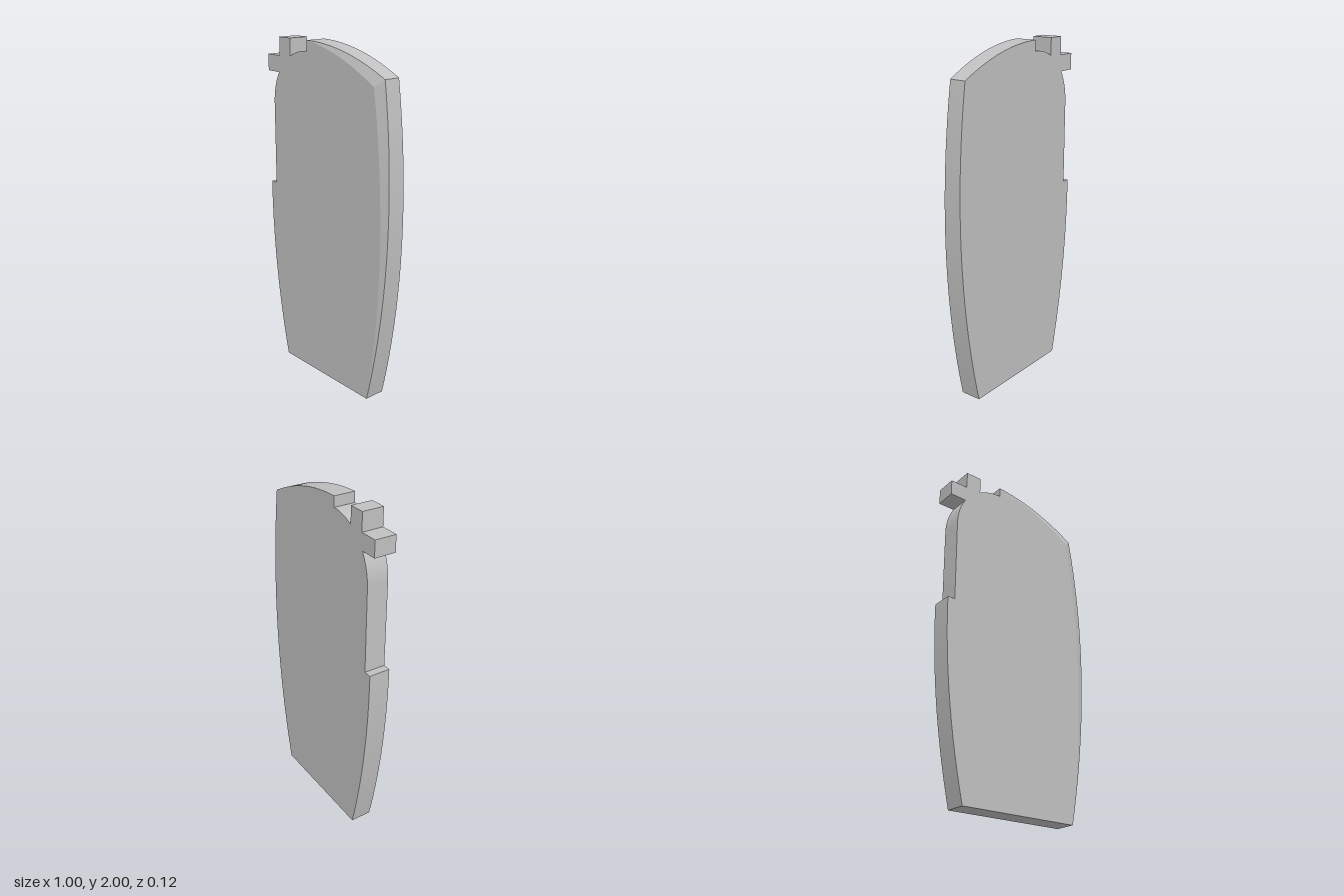
import * as THREE from 'three';
import { toCreasedNormals } from 'three/addons/utils/BufferGeometryUtils.js';

const D = 0.0625; // half thickness
const EDGE = 0.036; // front height of the bevel's lowest corner

// points of a gentle arc from a to b that passes through m halfway (last point left out)
function arc(a, m, b, n) {
  const c = [2 * m[0] - (a[0] + b[0]) / 2, 2 * m[1] - (a[1] + b[1]) / 2];
  const curve = new THREE.QuadraticBezierCurve(
    new THREE.Vector2(...a), new THREE.Vector2(...c), new THREE.Vector2(...b));
  return curve.getPoints(n).slice(0, n);
}

const plain = (points) => points.map((p) => ({ outer: p, inner: p, z: D }));

// bevelled stretch: outer rim drops from z0 to z1 while the front edge follows the inner arc
const bevelled = (outer, inner, z0, z1) => outer.map((p, i) => ({
  outer: p, inner: inner[i], z: THREE.MathUtils.lerp(z0, z1, i / outer.length),
}));

function plateGeometry() {
  const N = 28;
  const ring = [
    // right side, bevel widening upwards
    ...bevelled(
      arc([0.37, 0], [0.495, 0.925], [0.44, 1.85], N),
      arc([0.37, 0], [0.455, 0.905], [0.388, 1.808], N), D, EDGE),
    // top, bevel fading out to the left
    ...bevelled(
      arc([0.44, 1.85], [0.147, 1.962], [-0.147, 2], N),
      arc([0.388, 1.808], [0.12, 1.935], [-0.147, 2], N), EDGE, D),
    ...plain([new THREE.Vector2(-0.147, 2)]),
    // notched corner with its two prongs
    ...plain(arc([-0.147, 1.94], [-0.225, 1.93], [-0.295, 1.9], 8)),
    ...plain([
      [-0.295, 1.9], [-0.295, 2], [-0.392, 2], [-0.392, 1.895],
      [-0.5, 1.895], [-0.5, 1.8],
    ].map((p) => new THREE.Vector2(...p))),
    ...plain(arc([-0.4, 1.8], [-0.437, 1.715], [-0.45, 1.62], 10)),
    // left side with its step
    ...plain([new THREE.Vector2(-0.45, 1.62), new THREE.Vector2(-0.45, 1.127)]),
    ...plain(arc([-0.495, 1.127], [-0.463, 0.563], [-0.363, 0], N)),
    ...plain([new THREE.Vector2(-0.363, 0)]),
  ];

  const position = [];
  const ab = new THREE.Vector3(), ac = new THREE.Vector3();
  const tri = (a, b, c) => {
    ab.subVectors(b, a);
    ac.subVectors(c, a);
    if (ab.cross(ac).length() < 1e-9) return;
    for (const p of [a, b, c]) position.push(p.x, p.y, p.z);
  };
  const quad = (a, b, c, d) => { tri(a, b, c); tri(a, c, d); };
  const at = (p, z) => new THREE.Vector3(p.x, p.y, z);

  // rim walls and bevel
  ring.forEach((p, i) => {
    const q = ring[(i + 1) % ring.length];
    quad(at(p.outer, -D), at(q.outer, -D), at(q.outer, q.z), at(p.outer, p.z));
    quad(at(p.outer, p.z), at(q.outer, q.z), at(q.inner, D), at(p.inner, D));
  });

  // front and back faces
  const inner = ring.map((p) => p.inner), outer = ring.map((p) => p.outer);
  for (const [a, b, c] of THREE.ShapeUtils.triangulateShape(inner, []))
    tri(at(inner[a], D), at(inner[b], D), at(inner[c], D));
  for (const [a, b, c] of THREE.ShapeUtils.triangulateShape(outer, []))
    tri(at(outer[c], -D), at(outer[b], -D), at(outer[a], -D));

  const geometry = new THREE.BufferGeometry();
  geometry.setAttribute('position', new THREE.Float32BufferAttribute(position, 3));
  geometry.computeVertexNormals();
  return toCreasedNormals(geometry, 0.2);
}

export function createModel() {
  const grey = new THREE.MeshStandardMaterial({ color: 0xc0c0c0 });
  grey.name = 'light grey';

  const plate = new THREE.Mesh(plateGeometry(), grey);
  plate.name = 'bevelledPlate';

  const model = new THREE.Group();
  model.name = 'coverPlate';
  model.add(plate);
  return model;
}
